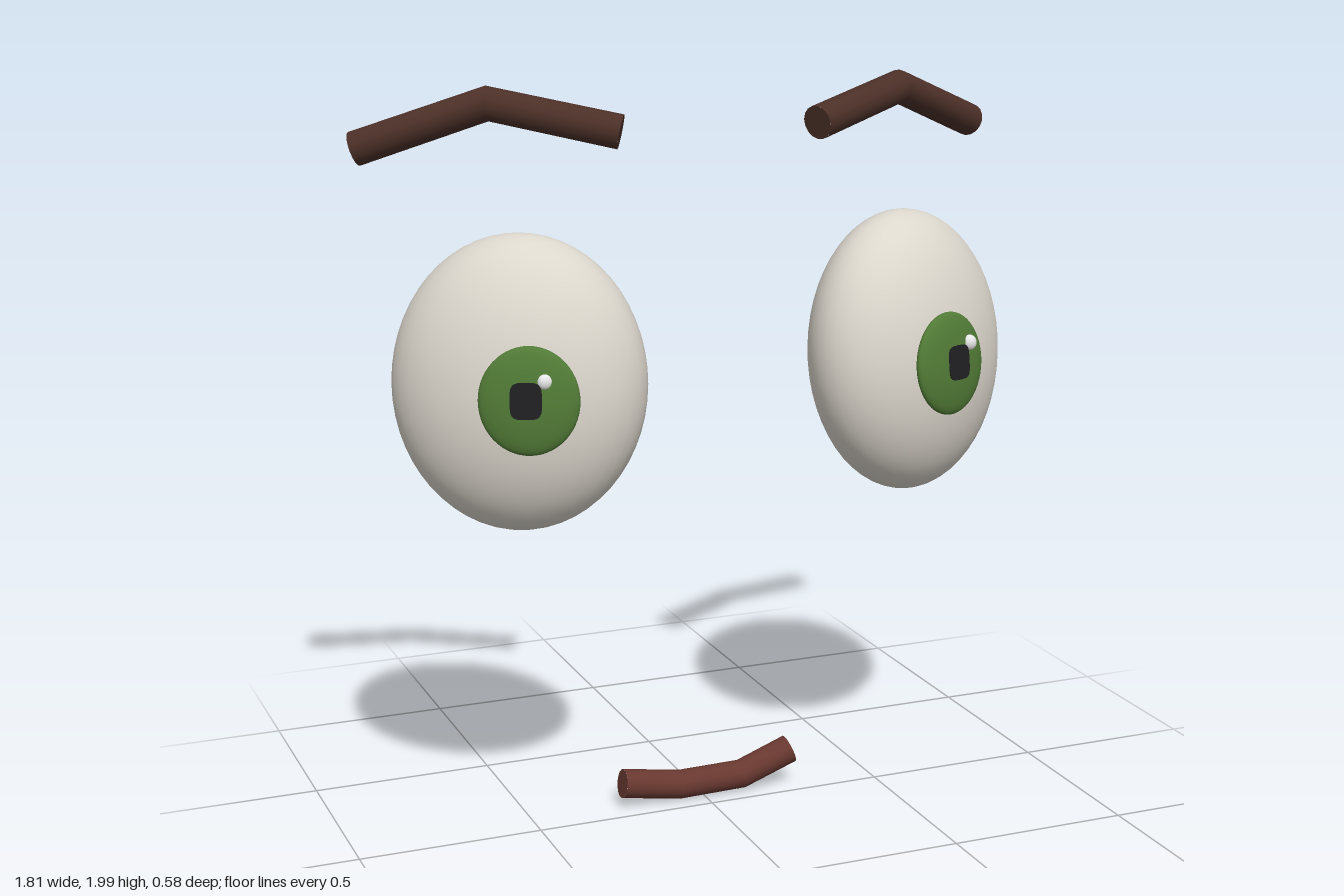
import * as THREE from 'three';

const paint = (name, color) => {
  const m = new THREE.MeshStandardMaterial({ color });
  m.name = name;
  return m;
};

// Path with straight pieces and mitred corners
class Polyline extends THREE.Curve {
  constructor(points) {
    super();
    this.points = points.map((p) => new THREE.Vector3(...p));
  }
  getPointAt(u, target = new THREE.Vector3()) {
    const n = this.points.length - 1;
    return target.copy(this.points[Math.round(u * n)]);
  }
  getTangentAt(u, target = new THREE.Vector3()) {
    const P = this.points, n = P.length - 1, i = Math.round(u * n);
    target.set(0, 0, 0);
    if (i > 0) target.add(P[i].clone().sub(P[i - 1]).normalize());
    if (i < n) target.add(P[i + 1].clone().sub(P[i]).normalize());
    return target.normalize();
  }
}

// Round bar along a polyline, closed with flat discs
function bar(name, points, radius, material) {
  const group = new THREE.Group();
  group.name = name;
  const path = new Polyline(points);
  const tube = new THREE.Mesh(new THREE.TubeGeometry(path, points.length - 1, radius, 16), material);
  tube.name = name + 'Bar';
  group.add(tube);
  for (const u of [0, 1]) {
    const cap = new THREE.Mesh(new THREE.CircleGeometry(radius, 16), material);
    cap.name = name + 'End';
    cap.position.copy(path.getPointAt(u));
    const outward = path.getTangentAt(u).multiplyScalar(u ? 1 : -1);
    cap.quaternion.setFromUnitVectors(new THREE.Vector3(0, 0, 1), outward);
    group.add(cap);
  }
  return group;
}

function ellipsoid(name, radii, material) {
  const mesh = new THREE.Mesh(new THREE.SphereGeometry(1, 40, 28), material);
  mesh.name = name;
  mesh.scale.set(...radii);
  return mesh;
}

// Thin plate with a rounded square outline
function pupilGeometry(w, h) {
  const outline = [];
  for (let i = 0; i < 24; i++) {
    const a = (i / 24) * Math.PI * 2, c = Math.cos(a), s = Math.sin(a);
    outline.push(new THREE.Vector2(
      w * Math.sign(c) * Math.abs(c) ** 0.5,
      h * Math.sign(s) * Math.abs(s) ** 0.5));
  }
  return new THREE.ExtrudeGeometry(new THREE.Shape(outline), { depth: 0.008, bevelEnabled: false });
}

export function createModel() {
  const white = paint('eye white', 0xdcd7cd);
  const green = paint('iris green', 0x517a36);
  const black = paint('pupil black', 0x202022);
  const shine = paint('highlight white', 0xeeeeee);
  const brown = paint('brow brown', 0x4c3028);
  const red = paint('mouth brown', 0x683830);

  const model = new THREE.Group();
  model.name = 'face';

  for (const s of [1, -1]) {
    const side = s > 0 ? 'left' : 'right';

    // Flattened eyeball, turned outward and slightly up
    const eyeball = ellipsoid(side + 'Eyeball', [0.328, 0.381, 0.2], white);
    eyeball.position.set(s * 0.546, 1.26, 0.042);
    eyeball.rotation.set(-0.096, s * 0.435, 0, 'YXZ');
    model.add(eyeball);

    // Iris lens with the pupil plate on it
    const gaze = new THREE.Group();
    gaze.name = side + 'Iris';
    gaze.position.set(s * 0.583, 1.256, 0.234);
    gaze.rotation.set(-0.096, s * 0.385, 0, 'YXZ');
    gaze.add(ellipsoid(side + 'IrisLens', [0.127, 0.137, 0.03], green));
    const pupil = new THREE.Mesh(pupilGeometry(0.04, 0.046), black);
    pupil.name = side + 'Pupil';
    pupil.position.set(s * 0.006, 0.003, 0.0235);
    gaze.add(pupil);
    model.add(gaze);

    // Highlight sits on the same side of both pupils
    const glint = ellipsoid(side + 'Highlight', [0.02, 0.021, 0.016], shine);
    glint.position.set(s > 0 ? 0.643 : -0.55, 1.307, s > 0 ? 0.231 : 0.262);
    model.add(glint);

    // Bent eyebrow
    model.add(bar(side + 'Eyebrow', [
      [s * 0.272, 1.886, 0.058],
      [s * 0.577, 1.955, -0.088],
      [s * 0.882, 1.836, -0.252],
    ], 0.045, brown));
  }

  // Mouth
  model.add(bar('mouth', [
    [-0.238, 0.073, -0.073],
    [-0.07, 0.046, -0.07],
    [0.115, 0.051, -0.066],
    [0.26, 0.107, -0.061],
  ], 0.04, red));

  return model;
}
